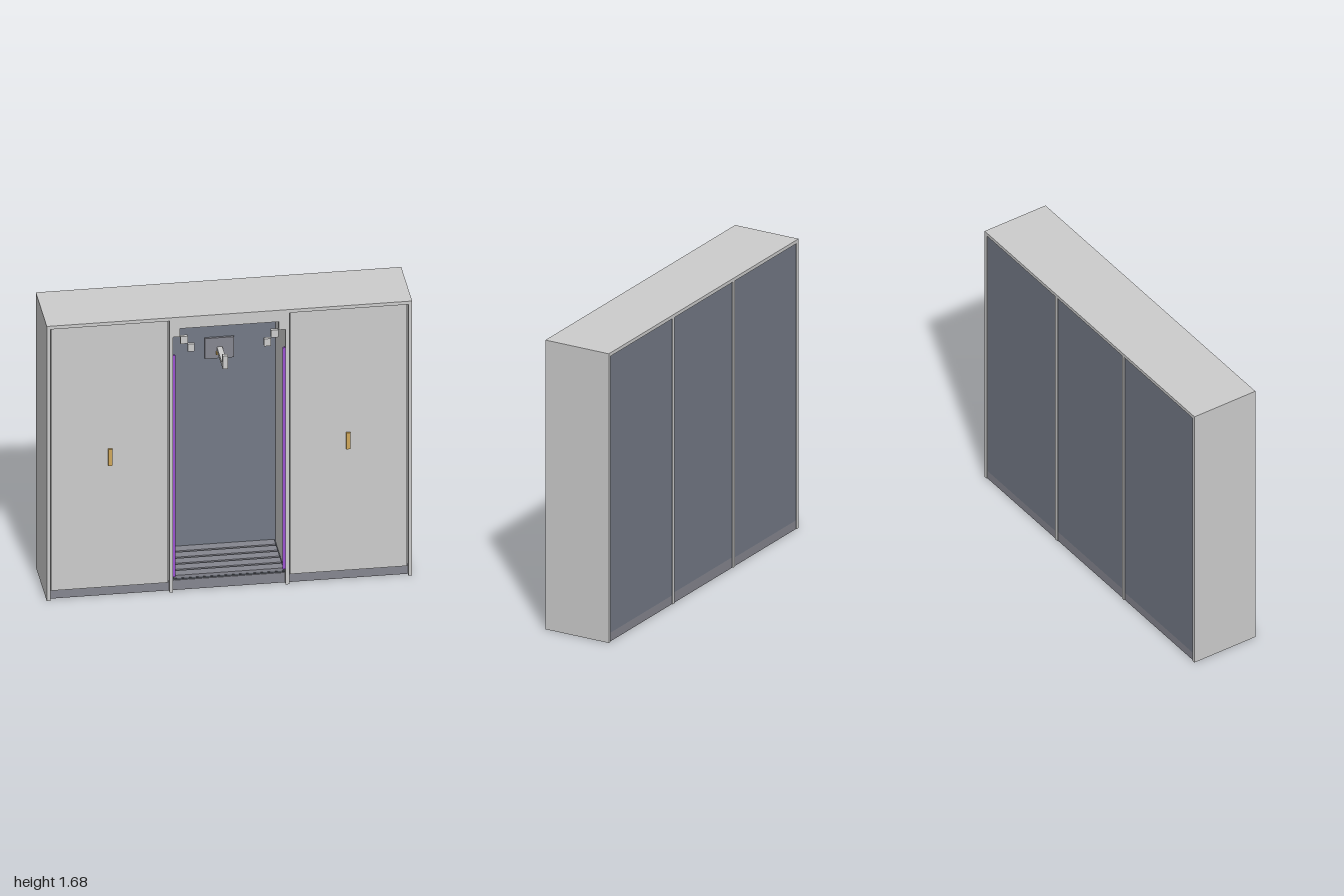
import * as THREE from 'three';

const mat = (color) => new THREE.MeshStandardMaterial({ color });

export function createModel() {
  const model = new THREE.Group();
  const body = mat(0xcccccc), backing = mat(0x737986), base = mat(0x85868f);
  const dark = mat(0x50545c), gold = mat(0xcfa75a), glow = mat(0x9a50d0);

  // Box given by its extents on each axis
  function box(name, material, [x0, x1], [y0, y1], [z0, z1]) {
    const mesh = new THREE.Mesh(new THREE.BoxGeometry(x1 - x0, y1 - y0, z1 - z0), material);
    mesh.position.set((x0 + x1) / 2, (y0 + y1) / 2, (z0 + z1) / 2);
    mesh.name = name;
    model.add(mesh);
  }
  // Same box on both sides of the middle
  function pair(name, material, [x0, x1], y, z) {
    box(name + 'Left', material, [x0, x1], y, z);
    box(name + 'Right', material, [-x1, -x0], y, z);
  }

  // Carcass
  box('topPanel', body, [-1, 1], [1.66, 1.68], [-0.2, 0.2]);
  pair('sidePanel', body, [0.98, 1], [0, 1.66], [-0.2, 0.2]);
  pair('partition', body, [0.308, 0.328], [0, 1.66], [-0.2, 0.2]);
  pair('plinth', base, [0.328, 0.98], [0, 0.05], [-0.195, 0.175]);
  box('bayPlinth', base, [-0.308, 0.308], [0, 0.06], [-0.195, 0.175]);

  // Back panels
  pair('backPanel', backing, [0.328, 0.98], [0.05, 1.66], [-0.195, -0.175]);
  box('bayBackPanel', backing, [-0.308, 0.308], [0.06, 1.66], [-0.195, -0.175]);

  // Doors with bar handles
  pair('door', body, [0.334, 0.974], [0.055, 1.655], [0.165, 0.188]);
  pair('handle', gold, [0.64, 0.663], [0.8, 0.9], [0.188, 0.2]);

  // Stepped arch over the open bay
  box('archHeader', body, [-0.308, 0.308], [1.61, 1.66], [0.18, 0.2]);
  pair('archCorner', body, [0.27, 0.308], [1.56, 1.61], [0.18, 0.2]);
  pair('archUpperBlock', body, [0.228, 0.268], [1.515, 1.56], [0.18, 0.199]);
  pair('archLowerBlock', body, [0.19, 0.228], [1.465, 1.51], [0.18, 0.199]);

  // Light strips inside the opening
  pair('lightStrip', glow, [0.294, 0.308], [0.085, 1.44], [0.172, 0.184]);

  // Slatted bay floor over a dark tray
  box('floorTray', dark, [-0.308, 0.308], [0.06, 0.068], [-0.175, 0.17]);
  const slats = 5, pitch = 0.35 / slats;
  for (let i = 0; i < slats; i++) {
    const z = -0.175 + i * pitch;
    box('floorSlat' + (i + 1), base, [-0.3, 0.3], [0.06, 0.085], [z + 0.007, z + pitch - 0.007]);
  }

  // Coat hook on its wall plate
  box('hookPlate', base, [-0.08, 0.08], [1.22, 1.345], [-0.175, -0.162]);
  box('hookCollar', gold, [-0.02, 0.02], [1.25, 1.266], [-0.162, -0.145]);
  box('hookArm', body, [-0.015, 0.015], [1.266, 1.29], [-0.162, 0.05]);
  box('hookTip', body, [-0.015, 0.015], [1.266, 1.345], [0.03, 0.055]);

  return model;
}
